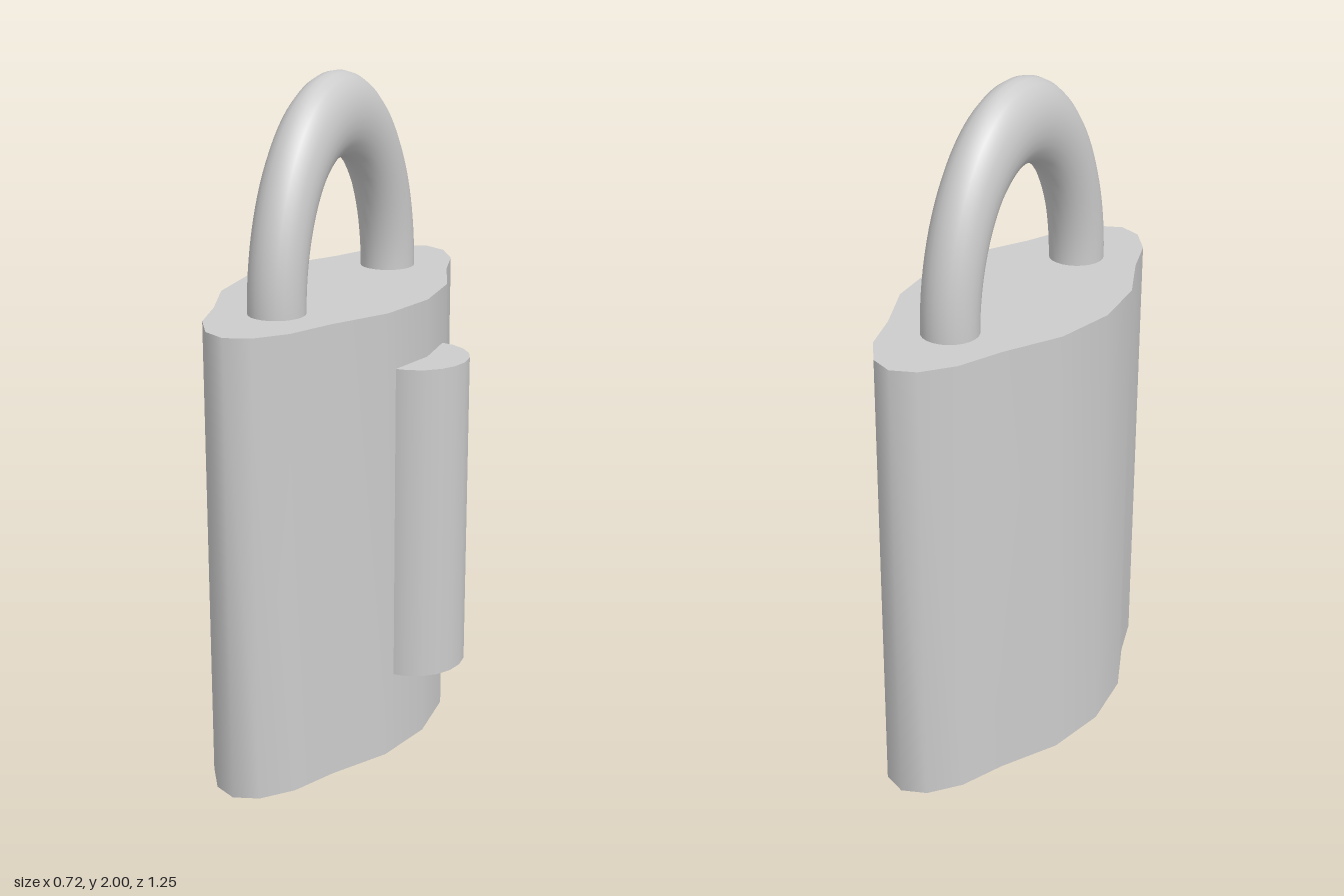
import * as THREE from 'three';
import { toCreasedNormals } from 'three/addons/utils/BufferGeometryUtils.js';

const BODY_X = -0.0625;
const BODY_HEIGHT = 1.37;

// Half-widths of the body at 18 degree steps from its tip to its middle
const HALF_WIDTHS = [0, 0.071, 0.138, 0.188, 0.272, 0.302];
const HALF_DEPTH = 0.623;

function bodyShape() {
  const points = [];
  for (let i = 0; i < 20; i++) {
    const angle = (i * Math.PI) / 10;
    const step = i % 10;
    const width = HALF_WIDTHS[step <= 5 ? step : 10 - step];
    // Counter-clockwise, starting at the rear tip
    points.push(new THREE.Vector2(i < 10 ? -width : width, HALF_DEPTH * Math.cos(angle)));
  }
  return new THREE.Shape(points);
}

export function createModel() {
  const group = new THREE.Group();
  const material = new THREE.MeshStandardMaterial({ color: 0xcccccc });

  const add = (name, geometry, x, y, z) => {
    const mesh = new THREE.Mesh(geometry, material);
    mesh.name = name;
    mesh.position.set(x, y, z);
    group.add(mesh);
    return mesh;
  };

  // Lock body: upright prism with softly shaded sides
  const body = new THREE.ExtrudeGeometry(bodyShape(), { depth: BODY_HEIGHT, bevelEnabled: false });
  body.rotateX(-Math.PI / 2);
  add('body', toCreasedNormals(body, 0.9), BODY_X, 0, 0);

  // Shackle: half ring stretched upwards, in the plane of the body's length
  const shackle = new THREE.TorusGeometry(0.3375, 0.0825, 24, 48, Math.PI);
  shackle.scale(1, 1.5, 1);
  shackle.rotateY(Math.PI / 2);
  add('shackle', shackle, BODY_X, BODY_HEIGHT, 0);

  // Keyhole cover: cylinder half sunk into the side
  const cover = new THREE.CylinderGeometry(0.155, 0.155, 0.95, 20);
  add('keyholeCover', cover, 0.205, 0.725, 0);

  return group;
}
